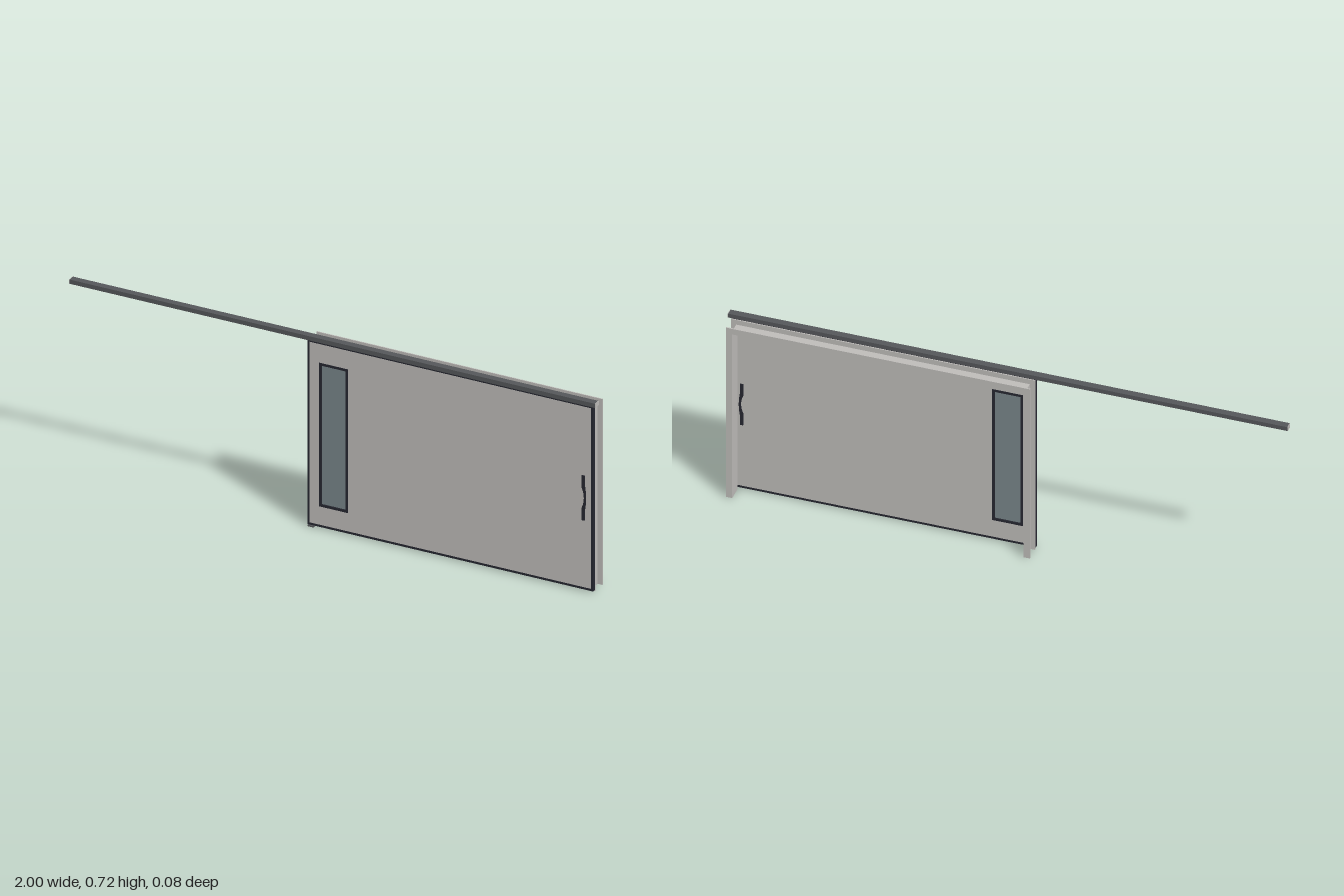
import * as THREE from 'three';

const mat = (name, color, side = THREE.FrontSide) => {
  const m = new THREE.MeshStandardMaterial({ color, side });
  m.name = name;
  return m;
};

export function createModel() {
  const panelGrey = mat('panelGrey', 0xbebcb9);
  const trimDark = mat('trimDark', 0x262730);
  const railGrey = mat('railGrey', 0x55575a);
  const glassBlue = mat('glassBlue', 0x78868a);

  const root = new THREE.Group();
  root.name = 'slidingDoor';

  const add = (name, geometry, material, parent = root) => {
    const m = new THREE.Mesh(geometry, material);
    m.name = name;
    parent.add(m);
    return m;
  };
  // box given by its minimum and maximum corners
  const box = (name, a, b, material, parent) => {
    const g = new THREE.BoxGeometry(b[0] - a[0], b[1] - a[1], b[2] - a[2]);
    g.translate((a[0] + b[0]) / 2, (a[1] + b[1]) / 2, (a[2] + b[2]) / 2);
    return add(name, g, material, parent);
  };
  const outline = (C, x0, y0, x1, y1) => {
    const s = new C();
    s.moveTo(x0, y0);
    s.lineTo(x1, y0);
    s.lineTo(x1, y1);
    s.lineTo(x0, y1);
    s.closePath();
    return s;
  };
  const extrude = (shape, z0, z1) => {
    const g = new THREE.ExtrudeGeometry(shape, { depth: z1 - z0, bevelEnabled: false });
    return g.translate(0, 0, z0);
  };
  // rectangular ring with a border of width w
  const ring = (x0, y0, x1, y1, w, z0, z1) => {
    const s = outline(THREE.Shape, x0, y0, x1, y1);
    s.holes.push(outline(THREE.Path, x0 + w, y0 + w, x1 - w, y1 - w));
    return extrude(s, z0, z1);
  };

  // Door leaf with a window opening and dark edge trim
  const door = new THREE.Group();
  door.name = 'doorLeaf';
  root.add(door);
  const D = { x0: -0.098, x1: 0.988, y0: 0.006, y1: 0.707 };
  const W = { x0: -0.053, x1: 0.057, y0: 0.084, y1: 0.628 };
  const leaf = outline(THREE.Shape, D.x0 + 0.008, D.y0 + 0.008, D.x1 - 0.008, D.y1 - 0.008);
  leaf.holes.push(outline(THREE.Path, W.x0 + 0.004, W.y0 + 0.004, W.x1 - 0.004, W.y1 - 0.004));
  add('doorPanel', extrude(leaf, 0.021, 0.033), panelGrey, door);
  add('edgeTrim', ring(D.x0, D.y0, D.x1, D.y1, 0.008, 0.0205, 0.0335), trimDark, door);

  // Window
  add('windowFrame', ring(W.x0, W.y0, W.x1, W.y1, 0.009, 0.0195, 0.0345), trimDark, door);
  box('windowGlass', [W.x0 + 0.008, W.y0 + 0.008, 0.024], [W.x1 - 0.008, W.y1 - 0.008, 0.03], glassBlue, door);

  // Bowed handles on both faces
  const grip = new THREE.Shape();
  grip.moveTo(0.946, 0.268);
  grip.lineTo(0.957, 0.268);
  grip.lineTo(0.957, 0.305);
  grip.quadraticCurveTo(0.966, 0.353, 0.957, 0.4);
  grip.lineTo(0.957, 0.438);
  grip.lineTo(0.946, 0.438);
  grip.lineTo(0.946, 0.39);
  grip.quadraticCurveTo(0.962, 0.353, 0.946, 0.316);
  grip.closePath();
  add('frontHandle', extrude(grip, 0.033, 0.036), trimDark, door);
  add('backHandle', extrude(grip, 0.018, 0.021), trimDark, door);

  // Wall lining: a channel around both sides and the top of the opening
  const frame = new THREE.Group();
  frame.name = 'doorFrame';
  root.add(frame);
  const portal = (x0, x1, top, w, z0, z1) => {
    const s = new THREE.Shape();
    s.moveTo(x0, 0);
    s.lineTo(x0 + w, 0);
    s.lineTo(x0 + w, top - w);
    s.lineTo(x1 - w, top - w);
    s.lineTo(x1 - w, 0);
    s.lineTo(x1, 0);
    s.lineTo(x1, top);
    s.lineTo(x0, top);
    s.closePath();
    return extrude(s, z0, z1);
  };
  add('jambAndLintel', portal(-0.079, 0.969, 0.685, 0.004, -0.036, 0.015), panelGrey, frame);
  add('frontFlange', portal(-0.098, 0.988, 0.704, 0.023, 0.014, 0.018), panelGrey, frame);
  add('backFlange', portal(-0.098, 0.988, 0.704, 0.023, -0.039, -0.035), panelGrey, frame);

  // Overhead track with pale end caps
  box('trackRail', [-0.998, 0.707, 0.015], [0.998, 0.723, 0.04], railGrey);
  for (const s of [-1, 1]) {
    const x = s * 0.999;
    box('trackEndCap', [x - 0.001, 0.707, 0.015], [x + 0.001, 0.723, 0.04], panelGrey);
  }

  // Floor guide under the trailing edge
  box('floorGuide', [-0.096, 0, 0.016], [-0.072, 0.005, 0.037], railGrey);

  return root;
}
